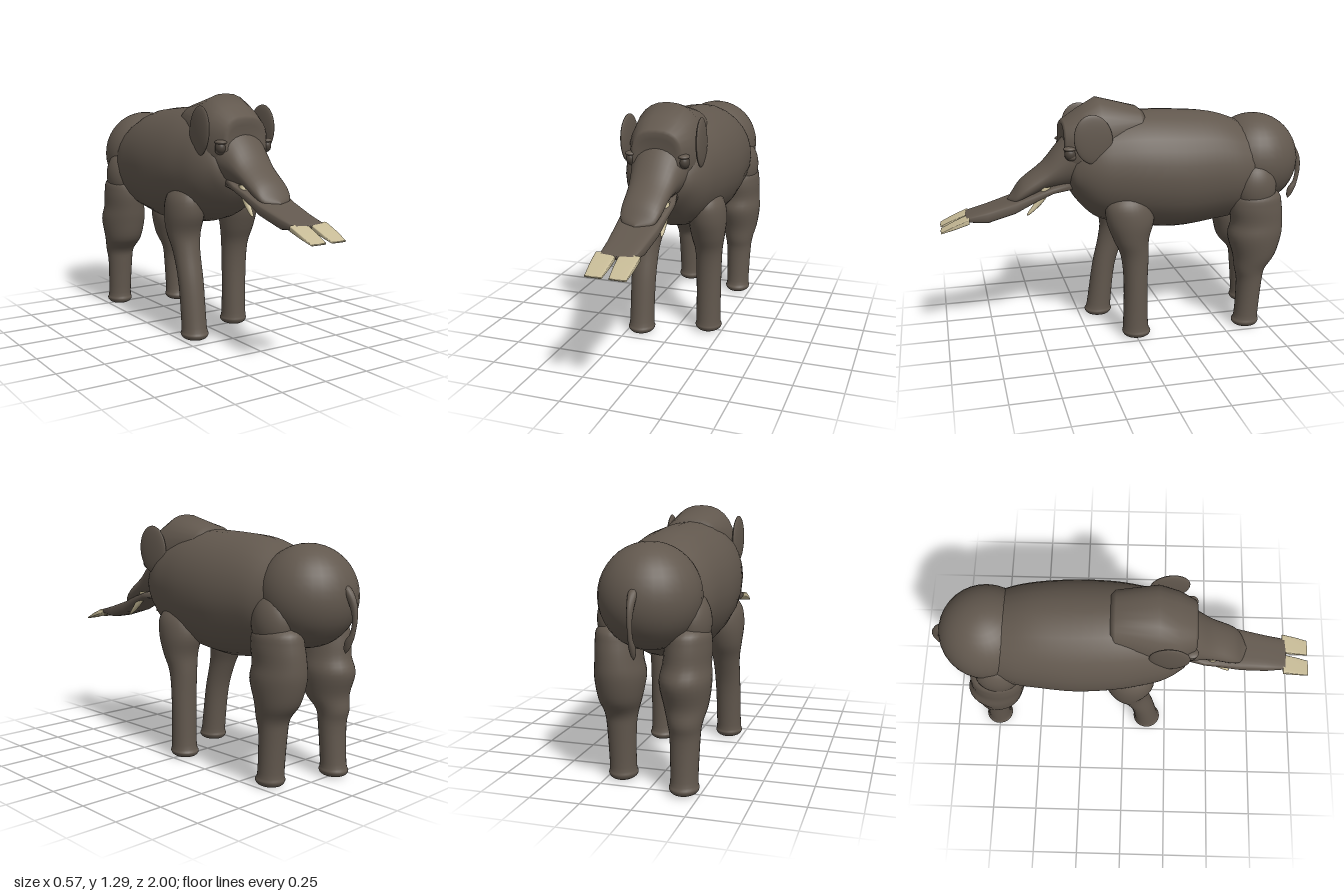
import * as THREE from 'three';

const hide = new THREE.MeshStandardMaterial({ name: 'hide', color: 0x62584e });
const ivory = new THREE.MeshStandardMaterial({ name: 'ivory', color: 0xc6ba96 });
const eyeDark = new THREE.MeshStandardMaterial({ name: 'eyeDark', color: 0x4a423a });

// Catmull-Rom blend of section rows, `steps` rows per span
function refine(rows, steps) {
  const out = [];
  const at = (i) => rows[Math.min(Math.max(i, 0), rows.length - 1)];
  for (let i = 0; i < rows.length - 1; i++) {
    for (let s = 0; s < steps; s++) {
      const t = s / steps;
      out.push(at(i).map((b, k) => {
        const a = at(i - 1)[k], c = at(i + 1)[k], d = at(i + 2)[k];
        const v = b + 0.5 * t * (c - a + t * (2 * a - 5 * b + 4 * c - d + t * (3 * (b - c) + d - a)));
        return k === 3 || k === 4 ? Math.max(v, 0) : v;
      }));
    }
  }
  out.push(rows[rows.length - 1]);
  return out;
}

// Skin over rings [x, y, z, radiusA, radiusB, squareness], stacked along 'y' or 'z'
function loft(rows, axis, steps = 4, segs = 28) {
  const rings = steps > 1 ? refine(rows, steps) : rows;
  const pos = [], index = [];
  const curve = (v, n) => Math.sign(v) * Math.pow(Math.abs(v), 2 / n);
  rings.forEach(([x, y, z, ra, rb, n], i) => {
    for (let j = 0; j < segs; j++) {
      const t = (j / segs) * Math.PI * 2;
      const a = ra * curve(Math.cos(t), n), b = rb * curve(Math.sin(t), n);
      if (axis === 'z') pos.push(x + a, y + b, z);
      else pos.push(x + a, y, z - b);
      if (i < rings.length - 1) {
        const p = i * segs + j, q = i * segs + ((j + 1) % segs);
        index.push(p, q, q + segs, p, q + segs, p + segs);
      }
    }
  });
  const g = new THREE.BufferGeometry();
  g.setAttribute('position', new THREE.Float32BufferAttribute(pos, 3));
  g.setIndex(index);
  g.computeVertexNormals();
  return g;
}

// Section across z given as bottom, top and half width
const cross = (z, bottom, top, w, n = 2, x = 0) => [x, (bottom + top) / 2, z, w, (top - bottom) / 2, n];

export function createModel() {
  const model = new THREE.Group();
  const add = (name, geometry, material = hide, parent = model) => {
    const m = new THREE.Mesh(geometry, material);
    m.name = name;
    parent.add(m);
    return m;
  };
  const blob = (name, x, y, z, rx, ry, rz, material = hide) => {
    const m = add(name, new THREE.SphereGeometry(1, 32, 20), material);
    m.position.set(x, y, z);
    m.scale.set(rx, ry, rz);
    return m;
  };

  // Barrel, neck and chest
  add('body', loft([
    cross(-0.74, 0.88, 0.92, 0), cross(-0.72, 0.72, 1.08, 0.18), cross(-0.6, 0.62, 1.14, 0.245),
    cross(-0.45, 0.59, 1.19, 0.27), cross(-0.25, 0.57, 1.21, 0.285), cross(-0.05, 0.59, 1.215, 0.275),
    cross(0.1, 0.62, 1.2, 0.25), cross(0.2, 0.66, 1.17, 0.225), cross(0.28, 0.74, 1.1, 0.185),
    cross(0.33, 0.82, 1.0, 0.13), cross(0.35, 0.9, 0.92, 0),
  ], 'z'));
  blob('rump', 0, 0.92, -0.705, 0.243, 0.25, 0.245);

  // Skull with a raised crest and a brow ledge
  add('skull', loft([
    cross(-0.07, 1.14, 1.16, 0, 2.4), cross(-0.065, 1.05, 1.215, 0.13, 2.4), cross(-0.04, 1.0, 1.235, 0.15, 2.4),
    cross(0.17, 0.82, 1.29, 0.19, 2.3), cross(0.27, 0.84, 1.232, 0.175, 2.4), cross(0.35, 0.9, 1.18, 0.135, 2.6),
    cross(0.362, 0.95, 1.165, 0.12, 2.6), cross(0.352, 0.98, 1.135, 0.1, 2.5), cross(0.35, 1.03, 1.05, 0, 2.5),
  ], 'z', 1));

  // Short trunk lying on the long lower jaw
  add('trunk', loft([
    cross(0.26, 0.82, 1.14, 0.16), cross(0.31, 0.82, 1.125, 0.15), cross(0.38, 0.82, 1.055, 0.128),
    cross(0.46, 0.815, 0.96, 0.112), cross(0.57, 0.765, 0.875, 0.102), cross(0.62, 0.75, 0.81, 0.075),
    cross(0.65, 0.765, 0.775, 0),
  ], 'z'));
  add('lowerJaw', loft([
    cross(0.3, 0.84, 0.86, 0, 4), cross(0.31, 0.82, 0.88, 0.1, 4), cross(0.42, 0.81, 0.85, 0.122, 4),
    cross(0.5, 0.775, 0.825, 0.117, 4), cross(0.62, 0.71, 0.78, 0.11, 4), cross(0.76, 0.668, 0.738, 0.097, 4),
    cross(0.865, 0.68, 0.708, 0.086, 4), cross(0.872, 0.69, 0.7, 0, 4),
  ], 'z', 1));

  for (const s of [1, -1]) {
    const side = s > 0 ? 'left' : 'right';

    // Flat shovel tusks at the jaw tip
    add(side + 'ShovelTusk', loft([
      cross(0.85, 0.69, 0.7, 0, 6, s * 0.058), cross(0.855, 0.678, 0.708, 0.052, 6, s * 0.058),
      cross(0.93, 0.654, 0.678, 0.048, 6, s * 0.058), cross(0.998, 0.636, 0.645, 0.042, 6, s * 0.058),
      cross(1.0, 0.639, 0.642, 0, 6, s * 0.058),
    ], 'z', 1), ivory);

    // Small upper tusks curving down and forward
    add(side + 'UpperTusk', loft([
      [s * 0.1, 0.705, 0.56, 0, 0, 2], [s * 0.1, 0.715, 0.55, 0.008, 0.01, 2],
      [s * 0.095, 0.755, 0.51, 0.014, 0.02, 2], [s * 0.09, 0.8, 0.475, 0.018, 0.024, 2],
      [s * 0.085, 0.85, 0.45, 0.018, 0.022, 2],
    ], 'y', 3, 14), ivory);

    // Ears
    const ear = blob(side + 'Ear', s * 0.193, 1.105, 0.225, 0.018, 0.127, 0.1);
    ear.rotation.set(0.15, s * 0.06, 0);

    // Eyes under heavy lids
    blob(side + 'Eye', s * 0.14, 1.025, 0.335, 0.026, 0.032, 0.03, eyeDark);
    blob(side + 'UpperLid', s * 0.139, 1.053, 0.338, 0.03, 0.012, 0.034);
    blob(side + 'LowerLid', s * 0.137, 1.012, 0.33, 0.026, 0.022, 0.028);

    // Front leg: the right one is striding forward
    const f = s > 0 ? [-0.005, 0, 0.0, 0.005, 0.025] : [0.14, 0.135, 0.105, 0.06, 0.03];
    const fx = s * 0.172;
    add(side + 'FrontLeg', loft([
      [fx, 0, f[0], 0, 0, 2], [fx, 0.004, f[0], 0.05, 0.055, 2], [fx, 0.028, f[0], 0.073, 0.077, 2],
      [fx, 0.07, f[1], 0.067, 0.068, 2], [fx, 0.3, f[2], 0.068, 0.064, 2], [fx, 0.46, f[3], 0.073, 0.074, 2],
      [fx, 0.56, f[4], 0.09, 0.095, 2], [fx, 0.66, f[4] + 0.005, 0.1, 0.126, 2],
      [fx, 0.75, 0.04, 0.088, 0.118, 2], [s * 0.165, 0.81, 0.04, 0.05, 0.07, 2], [s * 0.165, 0.83, 0.04, 0, 0, 2],
    ], 'y'));

    // Hind leg with a bulging thigh: the right one is set back
    const h = s > 0 ? [-0.635, -0.64, -0.65, -0.672] : [-0.75, -0.747, -0.735, -0.7];
    const hx = s * 0.172;
    add(side + 'HindLeg', loft([
      [hx, 0, h[0], 0, 0, 2], [hx, 0.004, h[0], 0.05, 0.055, 2], [hx, 0.028, h[0], 0.072, 0.076, 2],
      [hx, 0.07, h[1], 0.066, 0.066, 2], [hx, 0.26, h[2], 0.072, 0.07, 2], [hx, 0.34, h[2], 0.082, 0.085, 2],
      [s * 0.168, 0.42, h[3], 0.105, 0.118, 2], [s * 0.165, 0.53, h[3], 0.122, 0.15, 2],
      [s * 0.167, 0.61, -0.68, 0.113, 0.145, 2], [s * 0.172, 0.7, -0.67, 0.108, 0.145, 2],
      [s * 0.172, 0.77, -0.67, 0.09, 0.12, 2], [s * 0.16, 0.82, -0.67, 0, 0, 2],
    ], 'y'));
    blob(side + 'Hip', s * 0.19, 0.8, -0.655, 0.085, 0.14, 0.115);
  }

  // Tail with a thin tuft
  add('tail', loft([
    [0, 0.67, -0.937, 0, 0, 2], [0, 0.69, -0.942, 0.01, 0.014, 2], [0, 0.73, -0.955, 0.015, 0.021, 2],
    [0, 0.77, -0.975, 0.011, 0.013, 2], [0, 0.84, -0.985, 0.011, 0.014, 2],
    [0, 0.91, -0.97, 0.016, 0.022, 2], [0, 0.97, -0.935, 0.02, 0.025, 2], [0, 1.0, -0.91, 0, 0, 2],
  ], 'y', 4, 14));

  return model;
}
